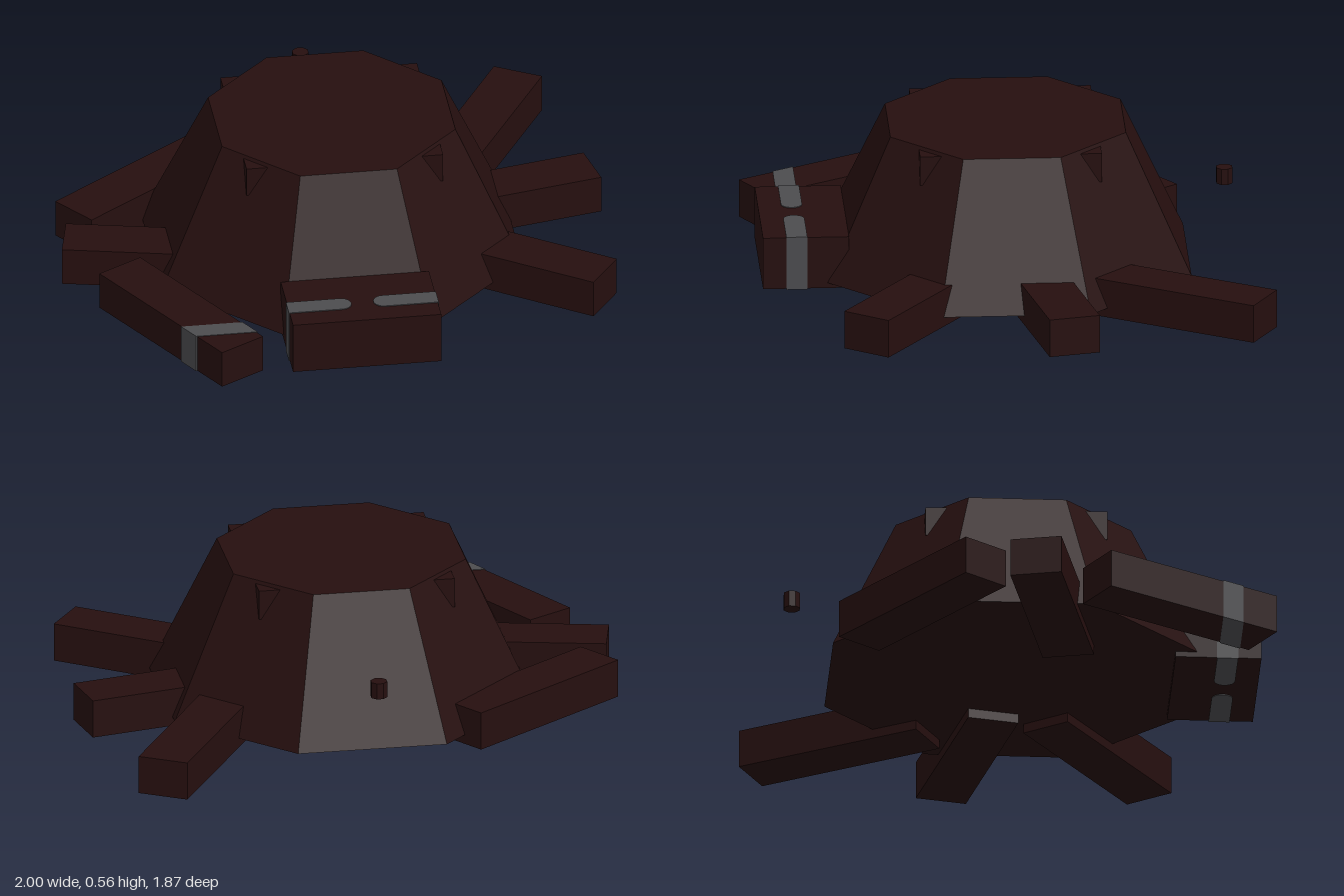
import * as THREE from 'three';

export function createModel() {
  const model = new THREE.Group();
  model.name = 'turtleRobot';

  const shell = new THREE.MeshStandardMaterial({ color: 0x260f0f });
  shell.name = 'darkMaroon';
  const band = new THREE.MeshStandardMaterial({ color: 0x4c4c4f });
  band.name = 'grey';

  function add(name, geometry, material, x = 0, y = 0, z = 0) {
    const mesh = new THREE.Mesh(geometry, material);
    mesh.name = name;
    mesh.position.set(x, y, z);
    model.add(mesh);
    return mesh;
  }

  // Faceted geometry: one normal per face
  function faceted(geometry) {
    const g = geometry.toNonIndexed();
    g.computeVertexNormals();
    return g;
  }

  // Plan shape in (x, z), raised between two heights
  function raisePlan(shape, bottom, top) {
    const g = new THREE.ExtrudeGeometry(shape, { depth: top - bottom, bevelEnabled: false, curveSegments: 8 });
    g.rotateX(Math.PI / 2);
    g.translate(0, top, 0);
    return g;
  }

  // Eight-sided tapered body
  const body = new THREE.CylinderGeometry(0.46, 0.711, 0.52, 8);
  body.rotateY(Math.PI / 8);
  add('body', faceted(body), shell, 0, 0.295, 0);

  // Blocks poking out of the diagonal faces below the rim
  for (const sx of [-1, 1]) {
    for (const sz of [-1, 1]) {
      add('cornerBlock', new THREE.BoxGeometry(0.13, 0.11, 0.13), shell, sx * 0.293, 0.488, sz * 0.263);
    }
  }

  // Head
  add('head', new THREE.BoxGeometry(0.54, 0.195, 0.31), shell, 0, 0.1125, 0.735);

  // Head bands, round at the inner end
  for (const side of [-1, 1]) {
    const r = 0.038, z = 0.768, inner = 0.04;
    const s = new THREE.Shape();
    s.moveTo(side * 0.273, z - r);
    s.lineTo(side * (inner + r), z - r);
    s.absarc(side * (inner + r), z, r, -Math.PI / 2, Math.PI / 2, side > 0);
    s.lineTo(side * 0.273, z + r);
    s.closePath();
    add('headBand', raisePlan(s, 0.012, 0.213), band);
  }

  // Legs: centre x, centre z, outward direction
  const legs = [
    ['backLeftLeg', 0.629, -0.583, 0.5, -0.866],
    ['middleLeftLeg', 0.628, -0.121, 0.978, -0.208],
    ['frontLeftLeg', 0.622, 0.349, 0.82, 0.57],
    ['middleRightLeg', -0.632, 0.113, -0.975, -0.22],
    ['frontRightLeg', -0.632, 0.575, 0.5, 0.866],
    ['backRightLeg', -0.632, -0.355, 0.805, -0.593],
  ];
  for (const [name, x, z, dx, dz] of legs) {
    const leg = add(name, new THREE.BoxGeometry(0.715, 0.142, 0.187), shell, x, 0.071, z);
    leg.rotation.y = Math.atan2(-dz, dx);
  }

  // Band around the front right leg
  const edge = (x0, z0, z) => x0 + (z - z0) * 0.577;
  const legBand = new THREE.Shape([
    new THREE.Vector2(edge(-0.897, 0.31, 0.73), 0.73),
    new THREE.Vector2(edge(-0.725, 0.22, 0.73), 0.73),
    new THREE.Vector2(edge(-0.725, 0.22, 0.806), 0.806),
    new THREE.Vector2(edge(-0.897, 0.31, 0.806), 0.806),
  ]);
  add('legBand', raisePlan(legBand, -0.002, 0.144), band);

  // Small tail stud behind the body
  add('tailStud', faceted(new THREE.CylinderGeometry(0.031, 0.031, 0.06, 8).rotateY(Math.PI / 8)), shell, 0, 0.322, -0.79);

  return model;
}
